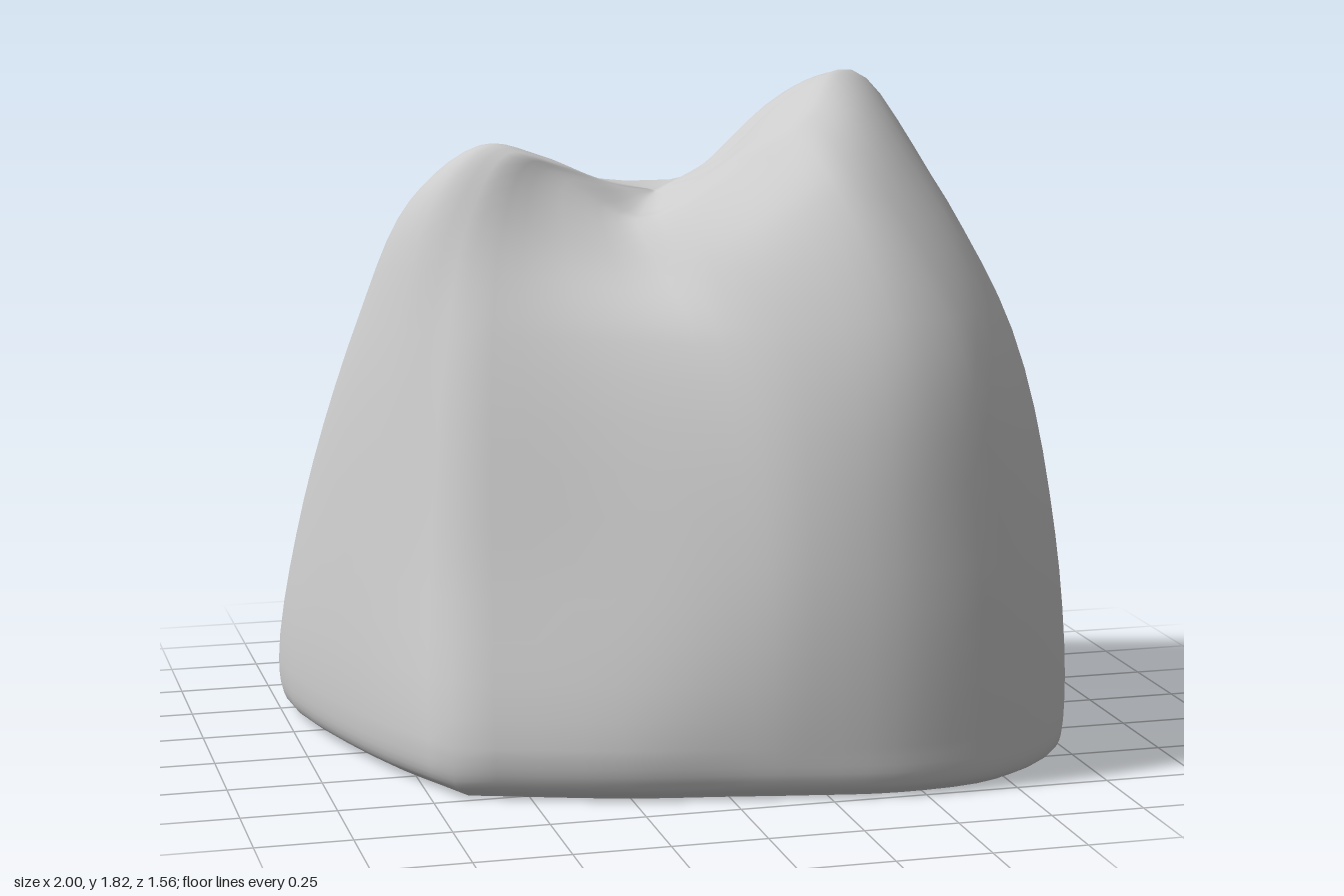
import * as THREE from 'three';

// Cross-sections run counter-clockwise from the sharp front corner at -x.
// Each of the 14 columns climbs from the base to the saddle between the peaks.
const FOOT = [[-.7, .49], [-.28, .63], [0, .685], [.2, .725], [.48, .765], [.78, .71], [.99, .46],
  [.925, .02], [.8, -.37], [.28, -.66], [-.6, -.78], [-.93, -.7], [-1, -.48], [-.87, .1]];
const WAIST = [[-.66, .33], [-.28, .47], [0, .61], [.2, .71], [.48, .775], [.77, .71], [.965, .43],
  [.9, .01], [.78, -.38], [.28, -.62], [-.6, -.73], [-.86, -.64], [-.93, -.43], [-.83, .02]];
const SHOULDER = [[-.59, .15], [-.3, .26], [-.03, .42], [.18, .61], [.43, .72], [.65, .66], [.85, .38],
  [.83, -.01], [.74, -.36], [.28, -.53], [-.5, -.56], [-.7, -.47], [-.79, -.3], [-.73, -.03]];
// Crown and crest points carry their own height: [x, y, z]
const CROWN = [[-.52, 1.42, .04], [-.3, 1.36, .1], [-.07, 1.32, .22], [.13, 1.42, .43], [.33, 1.54, .49],
  [.47, 1.52, .48], [.66, 1.54, .25], [.7, 1.58, -.05], [.61, 1.64, -.28], [.24, 1.43, -.39],
  [-.42, 1.41, -.43], [-.58, 1.45, -.36], [-.66, 1.47, -.22], [-.62, 1.5, -.06]];
const CREST = [[-.41, 1.6, -.03], [-.27, 1.53, -.03], [-.1, 1.43, .05], [.13, 1.56, .2], [.27, 1.67, .26],
  [.36, 1.73, .21], [.46, 1.81, .07], [.53, 1.81, -.04], [.46, 1.77, -.18], [.19, 1.52, -.26],
  [-.28, 1.53, -.26], [-.42, 1.59, -.22], [-.49, 1.61, -.16], [-.48, 1.63, -.08]];
const SADDLE = new THREE.Vector3(0, 1.49, -.12);

const COLS = 56, STEPS = 5;

// Smooth loop through a cross-section, left open at the first point so that corner stays sharp
const loop = (pts) => {
  const curve = new THREE.CatmullRomCurve3([...pts, pts[0]].map(p => new THREE.Vector3(...p)), false, 'centripetal');
  return Array.from({ length: COLS }, (_, i) => curve.getPoint(i / COLS));
};
const level = (pts, y, s = 1) => loop(pts.map(([x, z]) => [x * s, y, z * s]));

// Ring between crest and saddle; an S-shaped rise rounds both the peaks and the saddle
const hollow = (crest, t) => crest.map(p => {
  const q = SADDLE.clone().lerp(p, t);
  q.y = THREE.MathUtils.lerp(SADDLE.y, p.y, THREE.MathUtils.smoothstep(t, 0, 1));
  return q;
});

function createModel() {
  const group = new THREE.Group();
  group.name = 'rock';
  const material = new THREE.MeshStandardMaterial({ color: 0xcccccc, roughness: 0.9 });

  const crest = loop(CREST);
  const rings = [level(FOOT, 0, .93), level(FOOT, .035, .985), level(FOOT, .14),
    level(WAIST, .6), level(SHOULDER, 1.15), loop(CROWN), crest, hollow(crest, .7), hollow(crest, .35)];

  // Twin-peaked body: every column is a smooth curve up through the rings
  const rows = rings.length * STEPS;
  const positions = [], index = [];
  for (let i = 0; i < COLS; i++) {
    const column = new THREE.CatmullRomCurve3([...rings.map(r => r[i]), SADDLE], false, 'centripetal');
    for (let r = 0; r < rows; r++) positions.push(...column.getPoint(r / rows).toArray());
  }
  const tip = COLS * rows;
  positions.push(...SADDLE.toArray());
  for (let i = 0; i < COLS; i++) {
    const a = i * rows, b = ((i + 1) % COLS) * rows;
    for (let r = 0; r < rows - 1; r++) {
      index.push(a + r, b + r, b + r + 1, a + r, b + r + 1, a + r + 1);
    }
    index.push(a + rows - 1, b + rows - 1, tip);
  }
  const bodyGeo = new THREE.BufferGeometry();
  bodyGeo.setAttribute('position', new THREE.Float32BufferAttribute(positions, 3));
  bodyGeo.setIndex(index);
  bodyGeo.computeVertexNormals();
  const body = new THREE.Mesh(bodyGeo, material);
  body.name = 'rockBody';
  group.add(body);

  // Flat underside
  const baseGeo = new THREE.ShapeGeometry(new THREE.Shape(rings[0].map(p => new THREE.Vector2(p.x, p.z))));
  baseGeo.rotateX(Math.PI / 2);
  const underside = new THREE.Mesh(baseGeo, material);
  underside.name = 'underside';
  group.add(underside);

  return group;
}

export { createModel };
